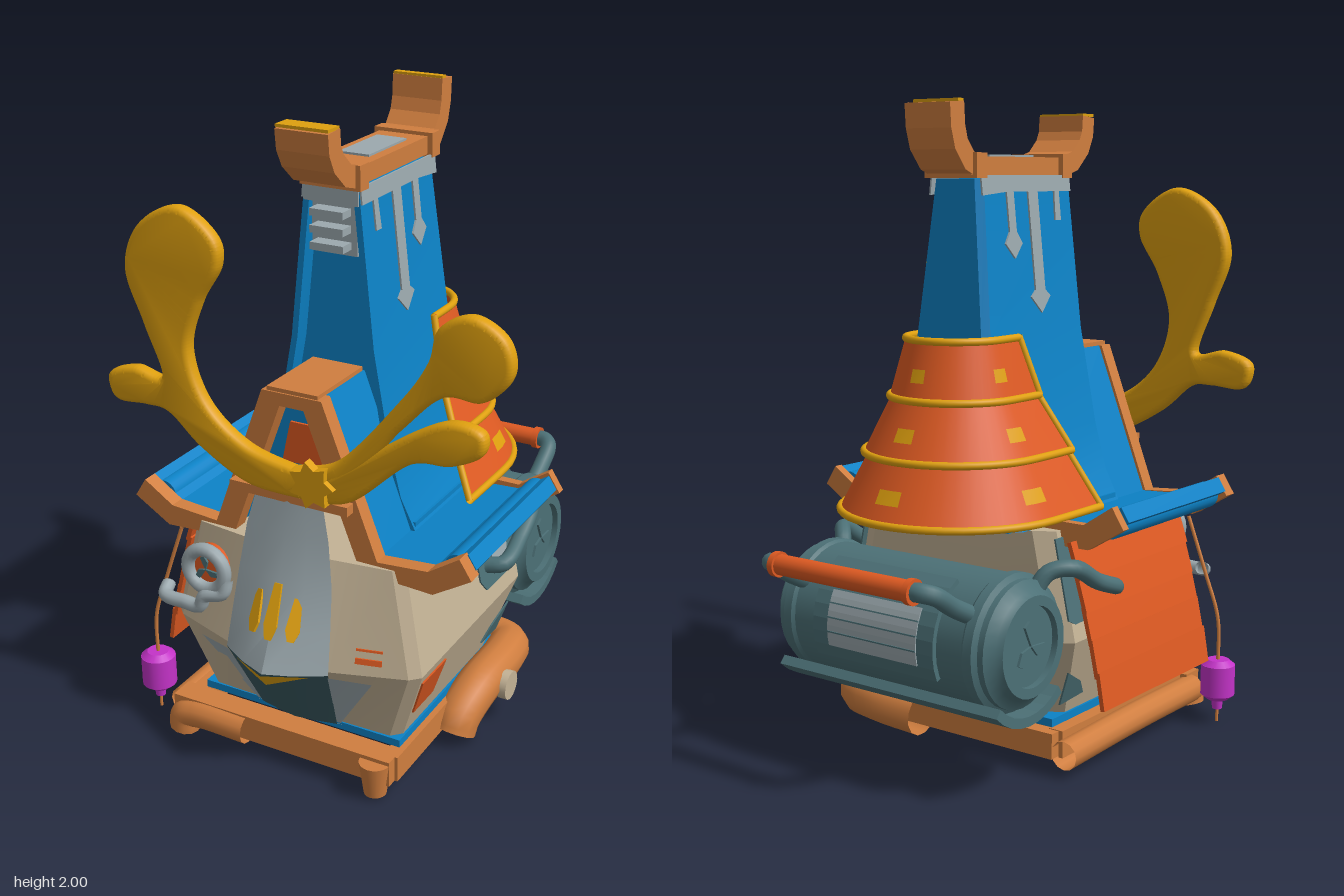
import * as THREE from 'three';
import { toCreasedNormals } from 'three/addons/utils/BufferGeometryUtils.js';

const paint = (name, color) => new THREE.MeshStandardMaterial({ name, color, side: THREE.DoubleSide });
const V = (p) => new THREE.Vector3(...p);

// piecewise linear lookup in [[y, value], ...]
function lerpTable(table, y) {
  for (let i = 1; i < table.length; i++) {
    const [a, b] = [table[i - 1], table[i]];
    if (y <= b[0] || i === table.length - 1) return a[1] + (b[1] - a[1]) * (y - a[0]) / (b[0] - a[0]);
  }
}

// half plan outline [x, z] from front centre to back, mirrored to a full ring at height y
function ring(half, y) {
  const mirror = half.filter((p) => p[0] > 0).reverse().map(([x, z]) => [-x, z]);
  return [...half, ...mirror].map(([x, z]) => [x, y, z]);
}

// solid through stacked rings
function loft(rings) {
  const v = [], n = rings[0].length;
  const tri = (...c) => c.forEach((p) => v.push(...p));
  for (let k = 0; k + 1 < rings.length; k++) for (let i = 0; i < n; i++) {
    const j = (i + 1) % n, a = rings[k], b = rings[k + 1];
    tri(a[i], a[j], b[j]); tri(a[i], b[j], b[i]);
  }
  const lo = rings[0], hi = rings[rings.length - 1];
  for (let i = 1; i + 1 < n; i++) { tri(lo[0], lo[i + 1], lo[i]); tri(hi[0], hi[i], hi[i + 1]); }
  const g = new THREE.BufferGeometry();
  g.setAttribute('position', new THREE.Float32BufferAttribute(v, 3));
  return toCreasedNormals(g, 0.4);
}

// open sheet through rows of points
function sheet(rows) {
  const n = rows[0].length, index = [];
  for (let k = 0; k + 1 < rows.length; k++) for (let i = 0; i + 1 < n; i++) {
    const a = k * n + i, b = a + n;
    index.push(a, a + 1, b + 1, a, b + 1, b);
  }
  const g = new THREE.BufferGeometry();
  g.setAttribute('position', new THREE.Float32BufferAttribute(rows.flat(2), 3));
  g.setIndex(index);
  return toCreasedNormals(g, 0.5);
}

const poly = (pts) => new THREE.Shape(pts.map((p) => new THREE.Vector2(...p)));
const extrude = (shape, depth) => new THREE.ExtrudeGeometry(shape, { depth, bevelEnabled: false, curveSegments: 8 });

// bent strip of thickness t along a 2D path
function band(pts, t, depth) {
  const side = (s) => pts.map((p, i) => {
    const a = pts[Math.max(i - 1, 0)], b = pts[Math.min(i + 1, pts.length - 1)];
    const dx = b[0] - a[0], dy = b[1] - a[1], l = Math.hypot(dx, dy);
    return [p[0] - dy / l * s * t / 2, p[1] + dx / l * s * t / 2];
  });
  return extrude(poly([...side(1), ...side(-1).reverse()]), depth);
}
// the same strip with its path in (z, y) and its width across x
const crossBand = (pts, t, w) => band(pts, t, w).translate(0, 0, -w / 2).rotateY(-Math.PI / 2);

// thin plate drawn in (z, y), laid on a sloping side whose half width is given by a table
function sideDecal(pts, table, s) {
  const g = extrude(poly(pts), 0.006), p = g.attributes.position;
  for (let i = 0; i < p.count; i++) {
    const u = p.getX(i), y = p.getY(i), d = p.getZ(i);
    p.setXYZ(i, s * (lerpTable(table, y) + d + 0.001), y, u);
  }
  g.computeVertexNormals();
  return g;
}
const disc = (x, y, r, n = 16) => Array.from({ length: n }, (_, i) => [x + r * Math.cos(i * 2 * Math.PI / n), y + r * Math.sin(i * 2 * Math.PI / n)]);

export function createModel() {
  const brown = paint('copper brown', 0xd07e3f), blue = paint('roof blue', 0x0c82c6), yellow = paint('golden yellow', 0xdfa00f);
  const orange = paint('rust orange', 0xde5a22), slate = paint('slate', 0x4c7076), grey = paint('light grey', 0x9ca9ae);
  const beige = paint('beige', 0xc4b396), magenta = paint('magenta', 0xc433c8), dark = paint('dark slate', 0x3a5a61);
  const root = new THREE.Group();
  const model = new THREE.Group();
  model.name = 'house';
  model.position.x = -0.045;
  root.add(model);
  const add = (name, geo, mat, pos = [0, 0, 0], rot = [0, 0, 0]) => {
    const m = new THREE.Mesh(geo, mat);
    m.name = name; m.position.set(...pos); m.rotation.set(...rot);
    model.add(m);
  };
  const box = (name, size, mat, pos, rot) => add(name, new THREE.BoxGeometry(...size), mat, pos, rot);
  const cyl = (name, r0, r1, h, mat, pos, rot) => add(name, new THREE.CylinderGeometry(r0, r1, h, 20), mat, pos, rot);
  const tube = (name, pts, r, mat) => add(name, new THREE.TubeGeometry(new THREE.CatmullRomCurve3(pts.map(V), false, 'centripetal'), 32, r, 12), mat);
  const fan = (pos, rotY, s) => {
    const g = new THREE.Group();
    g.name = 'fan'; g.position.set(...pos); g.rotation.y = rotY;
    for (let i = 0; i < 3; i++) {
      const b = new THREE.Mesh(extrude(poly([[0, 0], [s * 0.35, s * 0.5], [s * 0.2, s], [-s * 0.15, s * 0.9]]), 0.008), slate);
      b.name = 'fanBlade'; b.rotation.z = i * 2 * Math.PI / 3 + 0.3;
      g.add(b);
    }
    model.add(g);
  };

  // body hull
  const bodyHw = [[0.15, 0.34], [0.41, 0.43], [0.74, 0.36]];
  const hull = (y, zp, hp, zs, hw, zc, zb) => ring([[0, zp], [hp, zs], [hw - 0.03, zc + 0.01], [hw, zc - 0.02], [hw, zb + 0.04], [hw - 0.06, zb]], y);
  add('body', loft([hull(0.15, 0.53, 0.13, 0.515, 0.34, 0.5, -0.12), hull(0.41, 0.7, 0.17, 0.635, 0.43, 0.55, -0.2), hull(0.74, 0.57, 0.13, 0.555, 0.36, 0.52, -0.2)]), beige);

  // prow plates
  const row = (y, hw, zt, zs) => [[-hw, y, zs], [-hw * 0.5, y, zt * 0.6 + zs * 0.4], [0, y, zt], [hw * 0.5, y, zt * 0.6 + zs * 0.4], [hw, y, zs]];
  add('prowUpper', sheet([row(0.405, 0.178, 0.73, 0.645), row(0.53, 0.17, 0.67, 0.615), row(0.66, 0.16, 0.615, 0.585), row(0.8, 0.14, 0.575, 0.565), row(0.9, 0.115, 0.56, 0.55)]), grey);
  add('prowLower', sheet([row(0.15, 0.135, 0.55, 0.525), row(0.405, 0.178, 0.73, 0.645)]), dark);
  add('prowChevron', sheet([[[-0.05, 0.375, 0.699], [0, 0.355, 0.707], [0.05, 0.375, 0.699]], row(0.402, 0.13, 0.737, 0.677).filter((_, i) => i % 2 === 0)]), yellow);
  for (const [x, h] of [[-0.065, 0.13], [0, 0.17], [0.065, 0.13]])
    add('prowDrop', extrude(poly([[-0.01, 0], [0.01, 0], [0.022, h * 0.25], [0.012, h], [-0.012, h], [-0.022, h * 0.25]]), 0.008), yellow, [x, 0.5, x ? 0.667 : 0.687], [-0.43, x * 5.5, 0]);
  for (const s of [-1, 1])
    add('flankWedge', sheet([[[s * 0.136, 0.16, 0.528], [s * 0.15, 0.16, 0.528]], [[s * 0.175, 0.395, 0.643], [s * 0.3, 0.385, 0.6]]]), grey);

  // painted panels on the hull sides
  for (const s of [-1, 1]) {
    add('sidePanel', sideDecal([[-0.18, 0.48], [-0.15, 0.465], [0.07, 0.47], [0.1, 0.51], [0.1, 0.72], [-0.18, 0.72]], bodyHw, s), slate);
    add('sideRound', sideDecal(disc(-0.04, 0.57, 0.055).map(([z, y]) => [z, 0.57 + (y - 0.57) * 1.3]), bodyHw.map(([y, w]) => [y, w + 0.007]), s), grey);
    add('cornerPatch', sideDecal([[-0.14, 0.2], [-0.02, 0.21], [-0.06, 0.26], [-0.15, 0.31]], bodyHw, s), slate);
  }
  add('paintedSquare', sideDecal([[0.36, 0.25], [0.49, 0.25], [0.515, 0.38], [0.36, 0.38]], bodyHw, 1), orange);
  for (const [y, h, z] of [[0.455, 0.018, 0.592], [0.49, 0.007, 0.585]]) box('flankMark', [0.08, h, 0.008], orange, [0.285, y, z], [-0.15, 0.32, 0]);

  // base frame, feet and pipes
  box('basePlate', [0.7, 0.025, 0.68], blue, [0, 0.145, 0.18]);
  box('baseUnderside', [0.6, 0.008, 0.6], beige, [0, 0.13, 0.18]);
  add('undersideCorner', extrude(poly([[0.3, -0.48], [0.3, -0.2], [0, -0.48]]), 0.008), yellow, [0, 0.118, 0], [-Math.PI / 2, 0, 0]);
  box('frontRail', [0.78, 0.085, 0.08], brown, [-0.03, 0.09, 0.565]);
  box('backRail', [0.76, 0.08, 0.05], brown, [0, 0.09, -0.18]);
  for (const x of [-0.37, 0.345]) box('sideRail', [0.05, 0.085, 0.74], brown, [x, 0.09, 0.2]);
  cyl('frontFoot', 0.05, 0.035, 0.11, brown, [0.31, 0.065, 0.6]);
  tube('frontPipe', [[-0.15, 0.08, 0.59], [-0.34, 0.08, 0.59], [-0.385, 0.065, 0.59], [-0.395, 0.015, 0.59]], 0.05, brown);
  tube('leftPipe', [[-0.42, 0.08, 0.56], [-0.42, 0.08, 0.2], [-0.42, 0.07, -0.2]], 0.045, brown);
  tube('rightPipe', [[0.39, 0.03, 0.225], [0.395, 0.07, 0.205], [0.41, 0.125, 0.1], [0.41, 0.13, -0.1], [0.38, 0.115, -0.2], [0.28, 0.11, -0.23], [0.1, 0.1, -0.23]], 0.072, brown);
  cyl('pipeCap', 0.048, 0.048, 0.03, beige, [0.487, 0.12, 0.035], [0, 0, Math.PI / 2]);

  // roof wings and gable
  const eave = [[-0.56, 0.8], [-0.45, 0.73], [-0.25, 0.73]];
  const flip = (pts) => pts.map(([x, y]) => [-x, y]).reverse();
  const half = [...eave, [-0.07, 1.2]], profile = [...half, ...flip(half)];
  add('roof', band(profile, 0.05, 0.58), blue, [0, 0.005, -0.1]);
  for (const s of [-1, 1]) cyl('eaveRoll', 0.042, 0.042, 0.57, blue, [s * 0.51, 0.768, 0.185], [Math.PI / 2, 0, 0]);
  add('frontFascia', band(profile, 0.072, 0.05), brown, [0, 0, 0.475]);
  for (const path of [eave, flip(eave)]) add('backFascia', band(path, 0.075, 0.03), brown, [0, 0, -0.14]);
  box('gableRidge', [0.17, 0.045, 0.26], brown, [0, 1.21, 0.39]);
  box('gableBeam', [0.4, 0.03, 0.08], brown, [0, 0.91, 0.52]);
  add('gableInfill', extrude(poly([[-0.16, 0.9], [0.16, 0.9], [0.06, 1.16], [-0.06, 1.16]]), 0.01), blue, [0, 0, 0.45]);
  add('gableVent', extrude(poly([[-0.07, 0.98], [0.07, 0.98], [0.04, 1.11], [-0.04, 1.11]]), 0.008), orange, [0, 0, 0.462]);
  box('towerFooting', [0.56, 0.03, 0.58], blue, [0, 0.76, 0]);

  // tower with a recessed front
  const towerHw = [[0.74, 0.29], [0.85, 0.235], [1, 0.195], [1.3, 0.14], [1.77, 0.09]];
  add('tower', loft(towerHw.map(([y, w]) => {
    const t = (y - 0.74) / 1.03, zf = 0.3 - 0.02 * t, zb = -0.25 + 0.07 * t;
    return ring([[0, zf - 0.035], [w - 0.03, zf - 0.035], [w - 0.02, zf], [w, zf], [w, zb + 0.02], [w - 0.02, zb]], y);
  })), blue);
  const drips = [[0.28, 1.78], [-0.18, 1.78], [-0.18, 1.72], [-0.06, 1.73], [-0.06, 1.61], [-0.085, 1.575], [-0.042, 1.53], [0, 1.575], [-0.025, 1.61], [-0.025, 1.73], [0.05, 1.73], [0.05, 1.43], [0.025, 1.41], [0.075, 1.36], [0.125, 1.41], [0.1, 1.43], [0.1, 1.73], [0.19, 1.73], [0.185, 1.64], [0.215, 1.64], [0.215, 1.73], [0.28, 1.73]];
  for (const s of [-1, 1]) add('paintDrips', sideDecal(drips, towerHw, s), grey);
  box('towerFrontBand', [0.18, 0.05, 0.008], grey, [0, 1.75, 0.283]);
  box('towerVentPlate', [0.15, 0.18, 0.008], grey, [0, 1.66, 0.262]);
  for (let i = 0; i < 3; i++) box('ventBar', [0.11, 0.022, 0.06], grey, [0, 1.6 + i * 0.05, 0.285]);

  // ridge cap with upturned ends
  box('ridgeCap', [0.165, 0.055, 0.5], brown, [0, 1.807, 0.04]);
  box('ridgePlate', [0.1, 0.008, 0.23], grey, [0, 1.837, 0.035]);
  for (const z of [0.265, -0.18]) box('ridgeClamp', [0.2, 0.075, 0.05], brown, [0, 1.808, z]);
  const horn = (pts, tipWidth) => {
    const [z, y] = pts[pts.length - 1];
    add('ridgeHorn', crossBand(pts, 0.066, 0.17), brown);
    box('hornTip', [0.168, 0.009, tipWidth], yellow, [0, y + 0.005, z + (0.062 - tipWidth) / 2]);
  };
  horn([[0.27, 1.808], [0.33, 1.825], [0.38, 1.87], [0.4, 1.91], [0.405, 1.965]], 0.062);
  horn([[-0.18, 1.808], [-0.22, 1.822], [-0.26, 1.87], [-0.275, 1.92], [-0.28, 1.99]], 0.025);

  // tiered horseshoe skirt
  const shoe = (r, y, c, f) => [[r, y, f], ...Array.from({ length: 25 }, (_, i) => [r * Math.cos(i * Math.PI / 24), y, c - r * Math.sin(i * Math.PI / 24)]), [-r, y, f]];
  const tiers = [[0.155, 1.3, 0.205, 1.12, -0.07, -0.03], [0.195, 1.13, 0.285, 0.95, -0.035, 0.03], [0.265, 0.96, 0.36, 0.775, 0.02, 0.08]];
  for (const [r0, y0, r1, y1, f0, f1] of tiers) {
    const top = shoe(r0, y0, -0.175, f0), low = shoe(r1, y1, -0.175, f1);
    add('skirtTier', sheet([low, top]), orange);
    tube('skirtRim', low, 0.012, yellow);
    for (const i of [0, 26]) tube('skirtEdge', [low[i], top[i]], 0.011, yellow);
    const at = (k, t) => low[k].map((v, j) => (v + (top[k][j] - v) * t) * (j === 1 ? 1 : 1.012));
    for (const k of [1, 12, 23]) add('skirtPatch', sheet([0.3, 0.52].map((h) => [at(k, h), at(k + 1, h), at(k + 2, h)])), yellow);
  }
  tube('skirtTopRim', shoe(0.155, 1.295, -0.175, -0.07), 0.012, yellow);

  // antler-like crest with pillowed edges
  const crest = (pts) => {
    const s = new THREE.Shape();
    s.moveTo(...pts[0]);
    s.splineThru(pts.slice(1).map((p) => new THREE.Vector2(...p)));
    const g = new THREE.ExtrudeGeometry(s, { depth: 0.014, bevelSize: 0.018, bevelThickness: 0.02, bevelOffset: -0.018, bevelSegments: 3, curveSegments: 60 });
    add('crest', toCreasedNormals(g, 0.7), yellow, [0, 0, 0.543]);
  };
  crest([[0.05, 0.92], [-0.13, 0.93], [-0.29, 1.01], [-0.4, 1.1], [-0.48, 1.11], [-0.58, 1.105], [-0.615, 1.14], [-0.61, 1.195], [-0.52, 1.225], [-0.42, 1.215], [-0.475, 1.37], [-0.53, 1.53], [-0.475, 1.67], [-0.34, 1.74], [-0.22, 1.67], [-0.205, 1.58], [-0.275, 1.46], [-0.32, 1.31], [-0.265, 1.155], [-0.13, 1.05], [0.05, 1.01]]);
  crest([[0, 1.01], [0.17, 1.065], [0.37, 1.29], [0.455, 1.42], [0.485, 1.52], [0.58, 1.57], [0.68, 1.52], [0.7, 1.42], [0.62, 1.335], [0.5, 1.325], [0.37, 1.2], [0.22, 1.03], [0, 0.92]]);
  crest([[0.05, 0.98], [0.2, 1.06], [0.42, 1.21], [0.53, 1.26], [0.62, 1.245], [0.62, 1.18], [0.53, 1.13], [0.4, 1.105], [0.21, 0.945], [0.05, 0.92]]);
  add('crestStar', extrude(poly(Array.from({ length: 14 }, (_, i) => { const r = i % 2 ? 0.05 : 0.075, a = i * Math.PI / 7; return [r * Math.cos(a), r * Math.sin(a)]; })), 0.03), yellow, [0.1, 0.985, 0.565]);

  // rear drum with fans, guard, panel and handle
  const drum = [[0, -0.41], [0.12, -0.41], [0.12, -0.43], [0.15, -0.43], [0.16, -0.41], [0.19, -0.39], [0.19, -0.37], [0.206, -0.36], [0.206, -0.33], [0.198, -0.32]];
  add('drum', toCreasedNormals(new THREE.LatheGeometry([...drum, ...flip(drum.map(([r, y]) => [-r, -y])).map(([r, y]) => [r, y])].map((p) => new THREE.Vector2(...p)), 32).rotateZ(-Math.PI / 2), 0.6), slate, [0, 0.45, -0.37]);
  for (const s of [-1, 1]) fan([s * 0.414, 0.45, -0.37], s * Math.PI / 2, 0.075);
  const arc = (r, a0, a1) => Array.from({ length: 9 }, (_, i) => {
    const a = a0 + (a1 - a0) * i / 8;
    return [-0.37 - r * Math.cos(a), 0.45 + r * Math.sin(a)];
  });
  add('drumGuard', crossBand(arc(0.222, -2.3, -0.8), 0.03, 0.84), slate);
  add('drumPanelFrame', crossBand(arc(0.204, -0.45, 1.1), 0.02, 0.46), slate);
  add('drumPanel', crossBand(arc(0.213, -0.25, 0.55), 0.008, 0.34), grey);
  for (let i = 0; i < 3; i++) add('panelLine', crossBand(arc(0.217, -0.05 + i * 0.2, -0.03 + i * 0.2), 0.006, 0.34), slate);
  for (const s of [-1, 1]) {
    tube('handleArm', [[s * 0.315, 0.55, -0.5], [s * 0.315, 0.6, -0.6], [s * 0.31, 0.645, -0.67], [s * 0.285, 0.655, -0.695], [s * 0.24, 0.655, -0.7]], 0.028, slate);
    cyl('gripRing', 0.038, 0.038, 0.02, orange, [s * 0.255, 0.655, -0.7], [0, 0, Math.PI / 2]);
    tube('sidePipe', [[s * 0.4, 0.54, 0.04], [s * 0.455, 0.55, 0.02], [s * 0.46, 0.59, -0.09], [s * 0.45, 0.65, -0.2], [s * 0.4, 0.64, -0.26], [s * 0.36, 0.55, -0.3]], 0.026, slate);
  }
  cyl('handleGrip', 0.031, 0.031, 0.5, orange, [0, 0.655, -0.7], [0, 0, Math.PI / 2]);

  // front porthole with fan and drain pipe
  add('portholeRing', new THREE.TorusGeometry(0.066, 0.022, 10, 24), grey, [-0.28, 0.615, 0.59]);
  cyl('portholeDisc', 0.068, 0.068, 0.08, orange, [-0.28, 0.615, 0.545], [Math.PI / 2, 0, 0]);
  fan([-0.28, 0.615, 0.587], 0, 0.045);
  tube('drainPipe', [[-0.21, 0.6, 0.585], [-0.22, 0.55, 0.595], [-0.28, 0.53, 0.605], [-0.3, 0.49, 0.605], [-0.36, 0.485, 0.6], [-0.44, 0.485, 0.59], [-0.455, 0.5, 0.55]], 0.022, grey);

  // overlapping side planks
  for (let i = 0; i < 5; i++) box('sidePlank', [0.014, 0.115, 0.62], orange, [-0.43 - i * 0.024, 0.66 - i * 0.095, 0.14], [0, 0, -0.33 + i * 0.04]);

  // hanging lantern
  tube('lanternCord', [[-0.43, 0.68, 0.5], [-0.49, 0.5, 0.51], [-0.535, 0.35, 0.52], [-0.54, 0.2, 0.52]], 0.006, brown);
  cyl('lantern', 0.056, 0.056, 0.1, magenta, [-0.54, 0.145, 0.52]);
  for (const [y, a, b] of [[0.203, 0.035, 0.056], [0.087, 0.056, 0.035]]) cyl('lanternShoulder', a, b, 0.018, magenta, [-0.54, y, 0.52]);
  cyl('lanternBase', 0.02, 0.016, 0.035, magenta, [-0.54, 0.062, 0.52]);
  cyl('lanternTassel', 0.005, 0.005, 0.05, brown, [-0.54, 0.025, 0.52]);
  return root;
}
